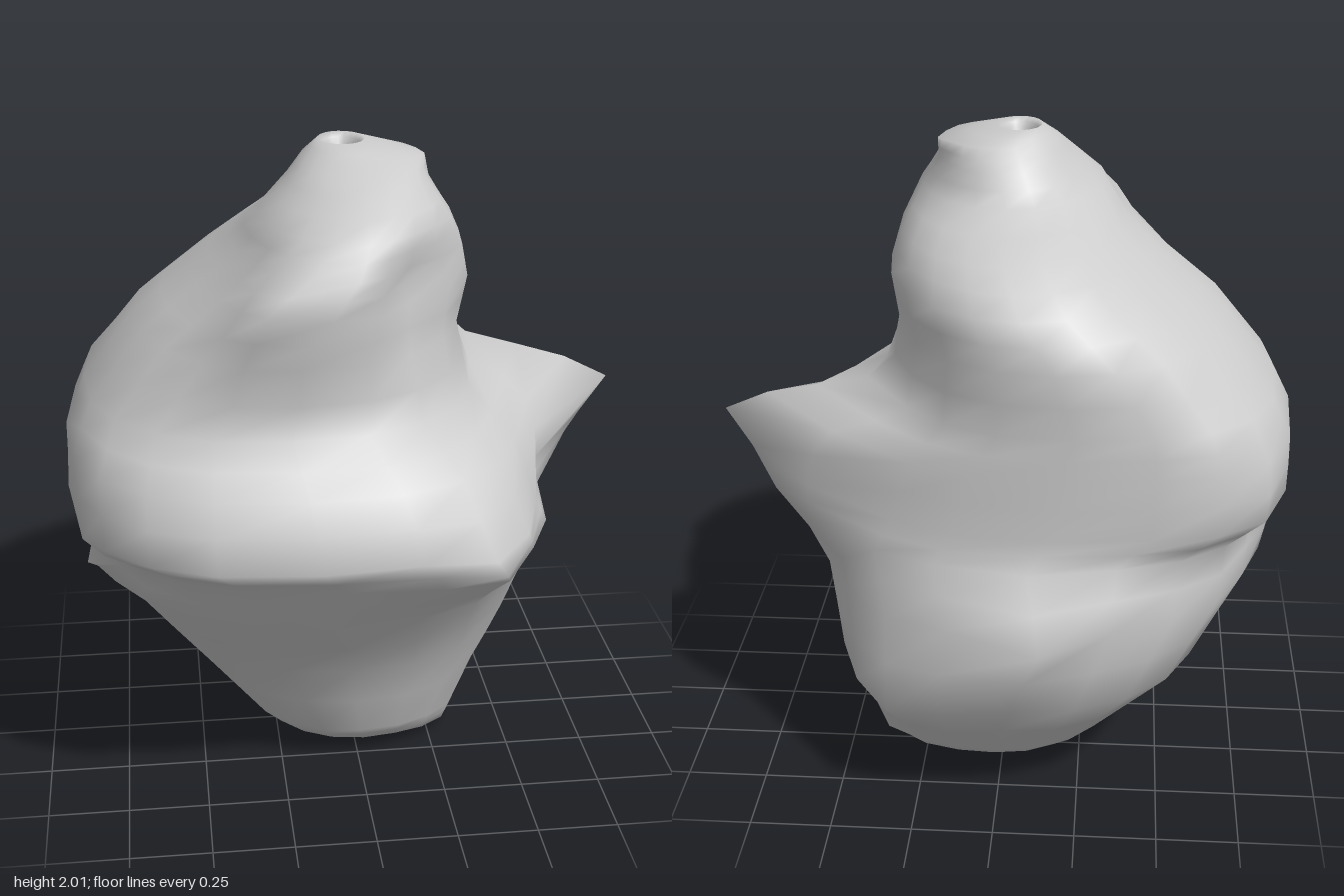
import * as THREE from 'three';

// Cross-sections from underside to crater floor: y, xMin, xMax, zMin, zMax, squareness
const LEVELS = [
  [0.03, 0.02, 0.03, -0.06, -0.05, 2],
  [0.02, -0.14, 0.18, -0.18, 0.04, 2],
  [0.015, -0.25, 0.3, -0.28, 0.13, 2],
  [0.05, -0.3, 0.34, -0.41, 0.26, 2.1],
  [0.11, -0.36, 0.37, -0.48, 0.31, 2.2],
  [0.4, -0.62, 0.53, -0.71, 0.43, 2.2],
  [0.66, -0.78, 0.58, -0.7, 0.62, 2.3],
  [0.84, -0.78, 0.61, -0.64, 0.74, 2.5],
  [0.94, -0.89, 0.56, -0.64, 0.82, 2.6],
  [1.13, -0.89, 0.5, -0.64, 0.75, 2.5],
  [1.26, -0.83, 0.37, -0.64, 0.61, 2.4],
  [1.46, -0.67, 0.33, -0.65, 0.59, 2.2],
  [1.6, -0.5, 0.36, -0.61, 0.59, 2],
  [1.71, -0.37, 0.33, -0.47, 0.58, 2],
  [1.81, -0.29, 0.28, -0.23, 0.55, 2],
  [1.9, -0.2, 0.22, -0.17, 0.4, 2],
  [1.96, -0.15, 0.2, -0.11, 0.25, 2],
  [2.0, -0.1, 0.04, -0.04, 0.14, 2],
  [1.97, -0.08, 0.02, -0.02, 0.12, 2],
  [1.82, -0.035, -0.025, 0.045, 0.055, 2],
];

// Local shaping: tip position and reach of the pulled area
const SPURS = [
  { tip: [0.88, 1.13, -0.16], reach: 0.34 },  // left side spur
  { tip: [-0.3, 1.65, 0.67], reach: 0.26 },   // upper front beak
  { tip: [0.1, 1.67, 0.46], reach: 0.25 },    // flat beside the beak
  { tip: [-0.85, 0.66, 0.09], reach: 0.25 },  // lower right spur
  { tip: [-0.78, 0.84, 0.42], reach: 0.25 },  // right front ledge
  { tip: [0.38, 0.86, 0.73], reach: 0.25 },   // left front corner
  { tip: [-0.14, 0.66, -0.83], reach: 0.25 }, // back spur
  { tip: [0.33, 0.35, -0.65], reach: 0.35 },  // lower back corner
  { tip: [0.36, 0.13, -0.4], reach: 0.25 },   // back foot
  { tip: [0.29, 0, 0.08], reach: 0.2 },       // front foot
  { tip: [-0.8, 1.04, -0.5], reach: 0.4 },    // right back shoulder
  { tip: [0.22, 1.95, 0.06], reach: 0.1 },    // nub beside the crater
];

const SEGMENTS = 20;
const STEPS = 2;

function ringPoints([y, x0, x1, z0, z1, n]) {
  const power = (v) => Math.sign(v) * Math.abs(v) ** (2 / n);
  return Array.from({ length: SEGMENTS }, (_, j) => {
    const a = (j / SEGMENTS) * Math.PI * 2;
    return new THREE.Vector3(
      (x0 + x1) / 2 + ((x1 - x0) / 2) * power(Math.cos(a)), y,
      (z0 + z1) / 2 + ((z1 - z0) / 2) * power(Math.sin(a)));
  });
}

// Pull the surface to a tip, fading linearly with distance
function pullSpur(points, { tip, reach }) {
  const target = new THREE.Vector3(...tip);
  const base = points.reduce((best, p) =>
    p.distanceTo(target) < best.distanceTo(target) ? p : best).clone();
  const offset = target.sub(base);
  for (const p of points) {
    const w = Math.max(0, 1 - p.distanceTo(base) / reach);
    p.addScaledVector(offset, w);
  }
}

function boulderGeometry() {
  const rings = [];
  LEVELS.forEach((level, i) => {
    const next = LEVELS[i + 1];
    for (let s = 0; s < (next ? STEPS : 1); s++) {
      rings.push(ringPoints(level.map((v, k) => next ? v + (next[k] - v) * s / STEPS : v)));
    }
  });
  const points = rings.flat();
  SPURS.forEach((spur) => pullSpur(points, spur));

  const index = [];
  for (let i = 0; i < rings.length - 1; i++) {
    for (let j = 0; j < SEGMENTS; j++) {
      const a = i * SEGMENTS + j;
      const b = i * SEGMENTS + (j + 1) % SEGMENTS;
      index.push(a, a + SEGMENTS, b, b, a + SEGMENTS, b + SEGMENTS);
    }
  }
  // Close the tiny ends
  const last = (rings.length - 1) * SEGMENTS;
  for (let j = 1; j < SEGMENTS - 1; j++) {
    index.push(0, j, j + 1, last, last + j + 1, last + j);
  }
  const geometry = new THREE.BufferGeometry().setFromPoints(points);
  geometry.setIndex(index);
  geometry.computeVertexNormals();
  return geometry;
}

export function createModel() {
  const group = new THREE.Group();
  group.name = 'boulder';
  const body = new THREE.Mesh(boulderGeometry(), new THREE.MeshStandardMaterial({ color: 0xcccccc }));
  body.name = 'boulderBody';
  group.add(body);
  return group;
}
